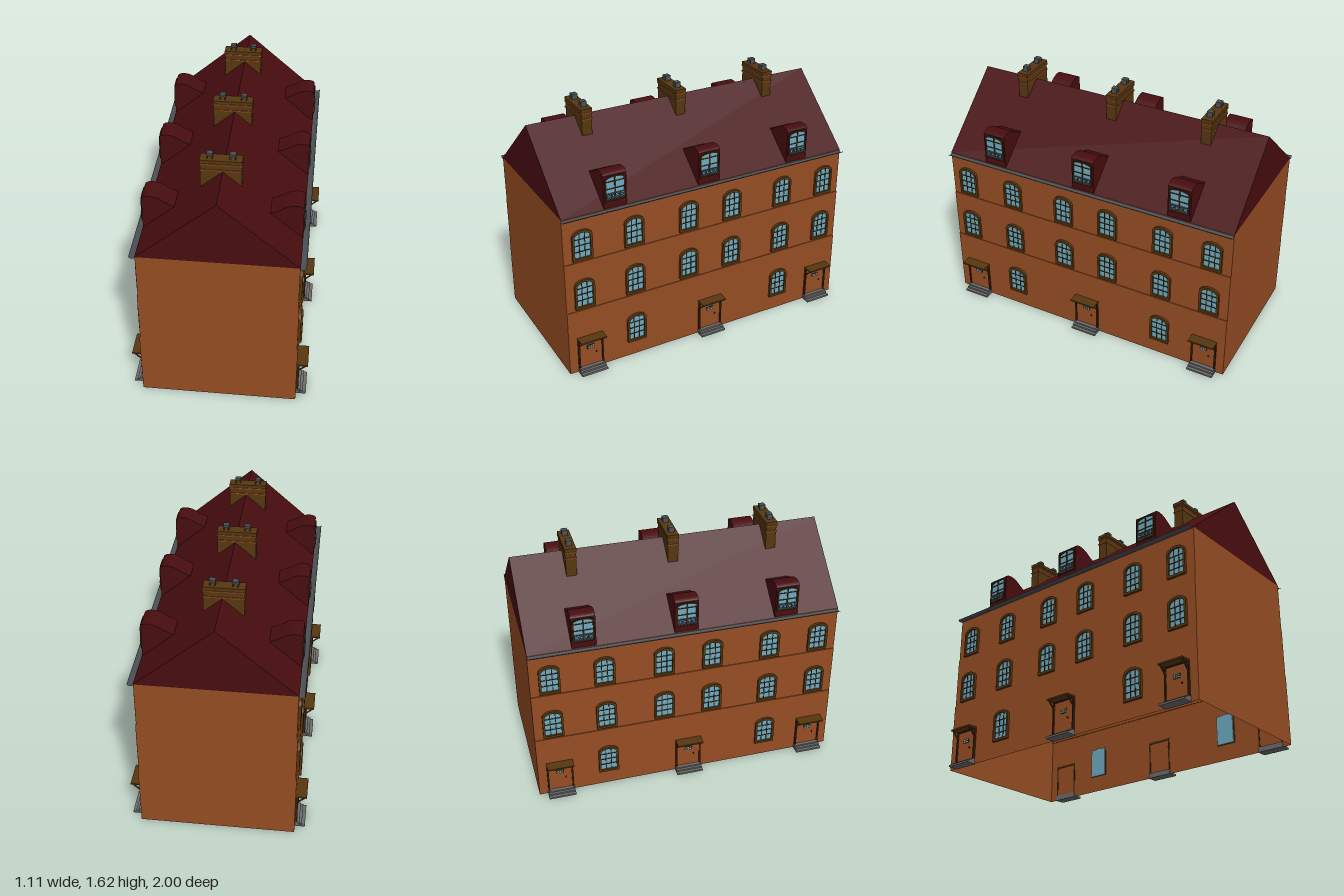
import * as THREE from 'three';

const mat = (name, color, side = THREE.FrontSide) => {
  const m = new THREE.MeshStandardMaterial({ color, side });
  m.name = name;
  return m;
};

export function createModel() {
  const brick = mat('brick', 0x964d23, THREE.DoubleSide);
  const roofRed = mat('roofRed', 0x480d10);
  const brown = mat('brownStone', 0x573710);
  const darkWood = mat('darkWood', 0x35200c);
  const glass = mat('glass', 0x6dabc0);
  const slate = mat('slateGrey', 0x4b4f54, THREE.DoubleSide);
  const stone = mat('stepStone', 0x6c6c6c);

  const house = new THREE.Group();
  house.name = 'townhouse';

  const add = (parent, name, geo, material, x = 0, y = 0, z = 0) => {
    const m = new THREE.Mesh(geo, material);
    m.name = name;
    m.position.set(x, y, z);
    parent.add(m);
    return m;
  };
  const box = (parent, name, material, w, h, d, x, y, z) =>
    add(parent, name, new THREE.BoxGeometry(w, h, d), material, x, y, z);

  // Rectangle with a low elliptical arch on top, standing on y = 0
  const arch = (C, w, h, rise) => {
    const s = new C();
    s.moveTo(-w / 2, 0);
    s.lineTo(w / 2, 0);
    s.lineTo(w / 2, h - rise);
    s.absellipse(0, h - rise, w / 2, rise, 0, Math.PI, false);
    s.closePath();
    return s;
  };
  const extrude = (shape, depth) =>
    new THREE.ExtrudeGeometry(shape, { depth, bevelEnabled: false, curveSegments: 10 });

  // Walls: each storey steps in a little; the bottom is open
  const storeys = [
    { x: 0.489, y0: 0, y1: 0.45 },
    { x: 0.484, y0: 0.45, y1: 0.79 },
    { x: 0.479, y0: 0.79, y1: 1.1 },
  ];
  const endShape = new THREE.Shape();
  storeys.forEach(({ x, y0, y1 }) => { endShape.lineTo(x, y0); endShape.lineTo(x, y1); });
  [...storeys].reverse().forEach(({ x, y0, y1 }) => { endShape.lineTo(-x, y1); endShape.lineTo(-x, y0); });
  add(house, 'frontWall', new THREE.ShapeGeometry(endShape), brick, 0, 0, 1);
  add(house, 'backWall', new THREE.ShapeGeometry(endShape), brick, 0, 0, -1).rotation.y = Math.PI;

  // Roof prism
  const gable = new THREE.Shape();
  gable.moveTo(-0.481, 1.1);
  gable.lineTo(0.481, 1.1);
  gable.lineTo(0, 1.515);
  add(house, 'roof', extrude(gable, 2), roofRed, 0, 0, -1);

  // Chimneys with brick bands and hollow pots
  for (const z of [0.65, 0.003, -0.642]) {
    const c = new THREE.Group();
    c.name = 'chimney';
    c.position.set(-0.011, 0, z);
    house.add(c);
    box(c, 'chimneyStack', brown, 0.242, 0.23, 0.066, 0, 1.475, 0);
    box(c, 'chimneyCap', brown, 0.248, 0.02, 0.074, 0, 1.58, 0);
    for (const y of [1.523, 1.562]) box(c, 'chimneyBand', brick, 0.25, 0.007, 0.075, 0, y, 0);
    for (const x of [-0.066, 0.068]) {
      box(c, 'potCap', slate, 0.036, 0.014, 0.036, x, 1.618, 0);
      for (const s of [-1, 1]) box(c, 'potSide', slate, 0.006, 0.022, 0.036, x + s * 0.015, 1.6, 0);
    }
  }

  const buildWindow = (side, x, y, face) => {
    const g = new THREE.Group();
    g.name = 'window';
    g.position.set(x, y, face);
    side.add(g);
    const frame = arch(THREE.Shape, 0.132, 0.204, 0.042);
    const hole = arch(THREE.Path, 0.104, 0.172, 0.034);
    frame.holes.push(new THREE.Path(hole.getPoints(10).map((p) => p.add(new THREE.Vector2(0, 0.016)))));
    add(g, 'windowFrame', extrude(frame, 0.022), brown, 0, 0, -0.006);
    add(g, 'windowGlass', extrude(arch(THREE.Shape, 0.112, 0.18, 0.036), 0.004), glass, 0, 0.012, 0);
    for (const bx of [-0.018, 0.018]) box(g, 'windowBar', darkWood, 0.005, 0.165, 0.005, bx, 0.1, 0.005);
    for (const by of [0.057, 0.099, 0.141]) box(g, 'windowBar', darkWood, 0.104, 0.005, 0.005, 0, by, 0.005);
    // Pane seen from inside the shell
    box(g, 'innerPane', glass, 0.12, 0.195, 0.006, 0, 0.1, -0.008);
  };

  const buildDoor = (side, x, face) => {
    const g = new THREE.Group();
    g.name = 'door';
    g.position.set(x, 0, face);
    side.add(g);
    box(g, 'doorPanel', brick, 0.15, 0.215, 0.006, 0, 0.138, 0.003);
    for (const s of [-1, 1]) {
      box(g, 'doorJamb', darkWood, 0.01, 0.22, 0.016, s * 0.08, 0.14, 0.006);
      // Diagonal brace under the canopy
      box(g, 'canopyBrace', brown, 0.008, 0.076, 0.007, s * 0.076, 0.216, 0.029).rotation.x = 0.83;
    }
    box(g, 'doorLintel', darkWood, 0.17, 0.01, 0.016, 0, 0.243, 0.006);
    box(g, 'canopy', brown, 0.172, 0.01, 0.07, 0, 0.249, 0.033);
    // Barred peephole and knob
    box(g, 'peephole', darkWood, 0.05, 0.028, 0.004, 0, 0.172, 0.007);
    for (const px of [-0.014, 0, 0.014])
      for (const py of [-0.006, 0.006]) box(g, 'peepholePane', glass, 0.01, 0.008, 0.002, px, 0.172 + py, 0.009);
    box(g, 'doorKnob', darkWood, 0.006, 0.008, 0.01, 0.036, 0.122, 0.009);
    // Steps
    box(g, 'lowerStep', stone, 0.177, 0.012, 0.072, 0, 0.006, 0.028);
    box(g, 'middleStep', stone, 0.174, 0.011, 0.052, 0, 0.0175, 0.018);
    box(g, 'upperStep', stone, 0.17, 0.01, 0.036, 0, 0.028, 0.01);
  };

  // Dormer side profile: upright front, curved top running back into the roof
  const dormerProfile = new THREE.Shape();
  dormerProfile.moveTo(0.25, 1.105);
  dormerProfile.lineTo(0.479, 1.105);
  dormerProfile.lineTo(0.479, 1.318);
  dormerProfile.bezierCurveTo(0.46, 1.342, 0.405, 1.338, 0.365, 1.313);
  dormerProfile.quadraticCurveTo(0.325, 1.285, 0.275, 1.268);

  const buildDormer = (side, x) => {
    const g = new THREE.Group();
    g.name = 'dormer';
    g.position.x = x;
    side.add(g);
    add(g, 'dormerBody', extrude(dormerProfile, 0.152), roofRed, 0.076, 0, 0).rotation.y = -Math.PI / 2;
    const frame = arch(THREE.Shape, 0.134, 0.165, 0.022);
    const hole = arch(THREE.Path, 0.116, 0.146, 0.018);
    frame.holes.push(new THREE.Path(hole.getPoints(10).map((p) => p.add(new THREE.Vector2(0, 0.01)))));
    add(g, 'dormerFrame', extrude(frame, 0.008), darkWood, 0, 1.148, 0.478);
    add(g, 'dormerGlass', extrude(arch(THREE.Shape, 0.12, 0.148, 0.02), 0.003), glass, 0, 1.157, 0.478);
    box(g, 'dormerBar', darkWood, 0.009, 0.14, 0.005, 0, 1.23, 0.482);
    for (const y of [1.228, 1.275]) box(g, 'dormerBar', darkWood, 0.116, 0.006, 0.005, 0, y, 0.482);
    // Small railing with rings
    for (const y of [1.165, 1.2]) box(g, 'rail', slate, 0.12, 0.005, 0.006, 0, y, 0.488);
    for (let i = 0; i < 5; i++) box(g, 'baluster', slate, 0.004, 0.035, 0.004, -0.056 + i * 0.028, 1.182, 0.488);
    for (let i = 0; i < 4; i++)
      add(g, 'railRing', new THREE.TorusGeometry(0.009, 0.002, 4, 10), slate, -0.042 + i * 0.028, 1.182, 0.488);
  };

  // Long side, built facing +z, then turned to face left and right
  const buildSide = (name, angle) => {
    const side = new THREE.Group();
    side.name = name;
    side.rotation.y = angle;
    house.add(side);
    storeys.forEach(({ x, y0, y1 }, i) => {
      add(side, 'sideWall', new THREE.PlaneGeometry(2, y1 - y0), brick, 0, (y0 + y1) / 2, x);
      if (i < 2) box(side, 'wallLedge', brick, 2, 0.002, 0.005, 0, y1 - 0.001, x - 0.0025);
    });
    const columns = [-0.877, -0.533, -0.153, 0.163, 0.545, 0.873];
    for (const x of columns) {
      buildWindow(side, x, 0.806, storeys[2].x);
      buildWindow(side, x, 0.467, storeys[1].x);
    }
    for (const x of [columns[1], columns[4]]) buildWindow(side, x, 0.107, storeys[0].x);
    for (const x of [-0.857, 0.008, 0.86]) buildDoor(side, x, storeys[0].x);
    for (const x of [-0.65, -0.008, 0.645]) buildDormer(side, x);
    // Half-round gutter along the eaves
    const gutter = new THREE.CylinderGeometry(0.02, 0.02, 2, 10, 1, true, -Math.PI / 2, Math.PI);
    gutter.rotateX(Math.PI / 2).rotateY(Math.PI / 2);
    if (gutter.boundingBox === null) gutter.computeBoundingBox();
    const up = gutter.boundingBox.max.y > 0.01;
    if (up) gutter.rotateX(Math.PI);
    gutter.scale(1, 0.6, 1);
    add(side, 'gutter', gutter, slate, 0, 1.1, 0.496);
  };
  buildSide('leftSide', Math.PI / 2);
  buildSide('rightSide', -Math.PI / 2);

  return house;
}
